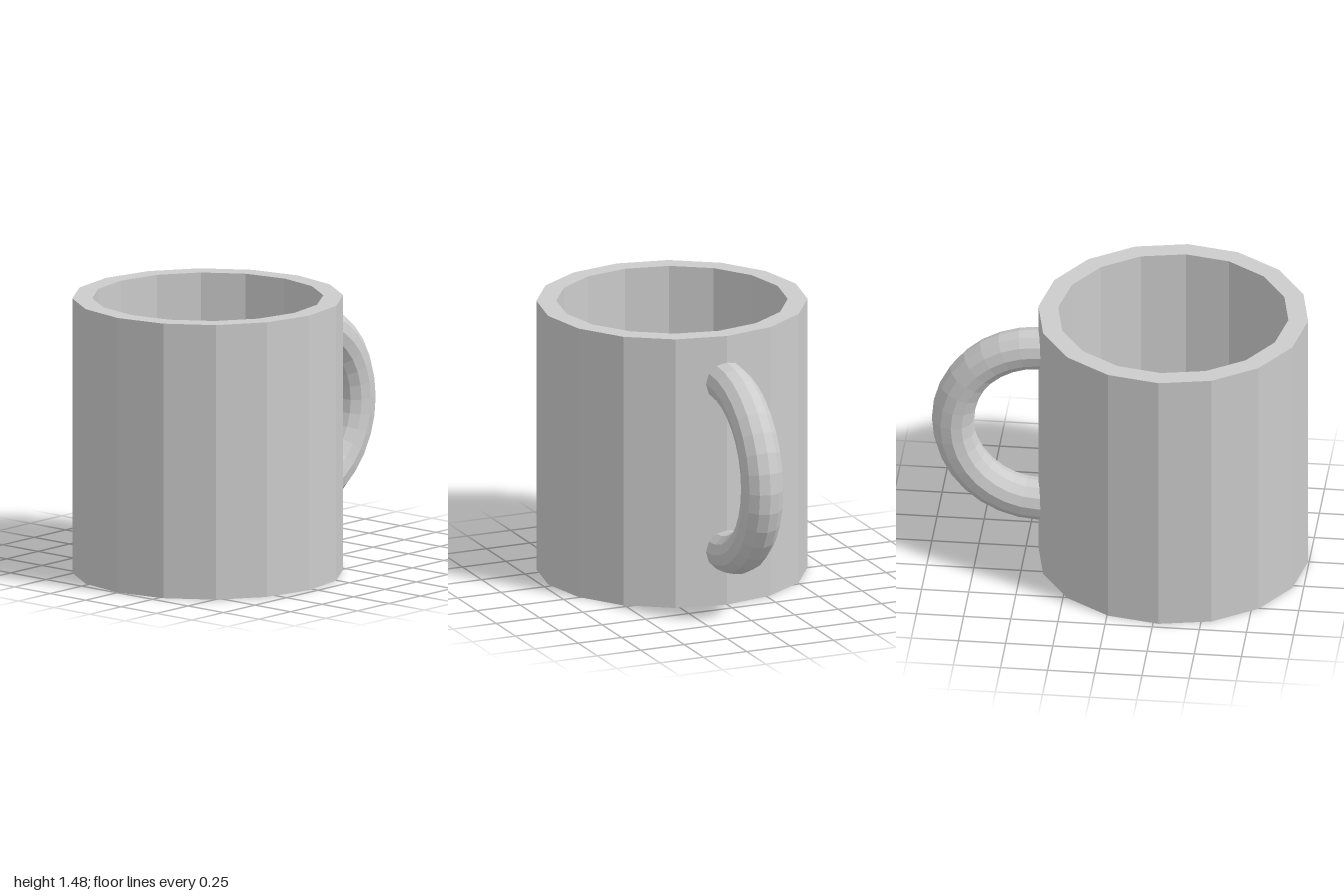
import * as THREE from 'three';

const SIDES = 16;
const HEIGHT = 1.48, OUTER = 0.715, INNER = 0.61, FLOOR = 0.1;
const BODY_Z = 0.28;
const HANDLE_Y = 0.76, HANDLE_Z = -0.425, HANDLE_R = 0.463, TUBE_R = 0.112, TUBE_SIDES = 12;

export function createModel() {
  const model = new THREE.Group();
  model.name = 'mug';
  const material = new THREE.MeshStandardMaterial({ color: 0xcccccc, flatShading: true });

  const add = (name, geometry, x, y, z, parent) => {
    const mesh = new THREE.Mesh(geometry, material);
    mesh.name = name;
    mesh.position.set(x, y, z);
    parent.add(mesh);
  };

  // Hollow body: underside, outer wall, rim, inner wall and floor in one profile
  const profile = [
    [0, 0], [OUTER, 0], [OUTER, HEIGHT], [INNER, HEIGHT], [INNER, FLOOR], [0, FLOOR],
  ].map(([r, y]) => new THREE.Vector2(r, y));
  add('body', new THREE.LatheGeometry(profile, SIDES), 0, 0, BODY_Z, model);

  // Half-ring handle at the back
  const handle = new THREE.Group();
  handle.name = 'handle';
  handle.position.set(0, HANDLE_Y, HANDLE_Z);
  model.add(handle);
  const loop = new THREE.TorusGeometry(HANDLE_R, TUBE_R, TUBE_SIDES, 16, Math.PI);
  loop.rotateZ(-Math.PI / 2).rotateY(Math.PI / 2);
  add('handleLoop', loop, 0, 0, 0, handle);

  // Short roots that seat both handle ends in the wall
  for (const side of [1, -1]) {
    const root = new THREE.CylinderGeometry(TUBE_R, TUBE_R, 0.04, TUBE_SIDES).rotateX(Math.PI / 2);
    add(side > 0 ? 'upperHandleRoot' : 'lowerHandleRoot', root, 0, side * HANDLE_R, 0.02, handle);
  }

  return model;
}
